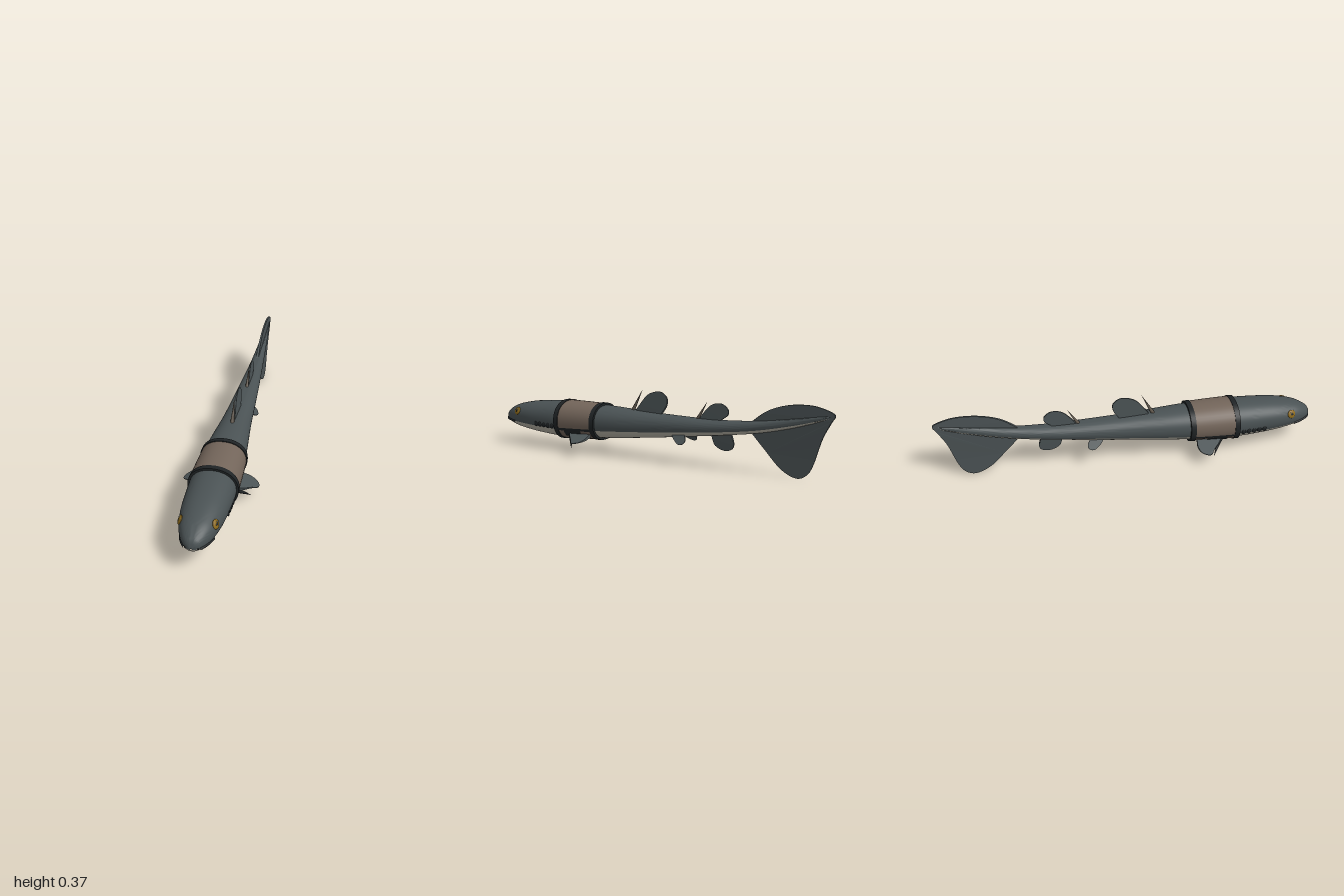
import * as THREE from 'three';
import { toCreasedNormals } from 'three/addons/utils/BufferGeometryUtils.js';

const mat = (name, color, side = THREE.FrontSide) => {
  const m = new THREE.MeshStandardMaterial({ color, side });
  m.name = name;
  return m;
};
const rad = THREE.MathUtils.degToRad;

// body stations, nose to tail: z, top, bottom, half width
const stations = [
  [1, 0.147, 0.139, 0.004], [0.99, 0.175, 0.125, 0.028], [0.97, 0.192, 0.115, 0.047],
  [0.94, 0.21, 0.105, 0.065], [0.9, 0.226, 0.095, 0.081], [0.8, 0.247, 0.081, 0.101],
  [0.7, 0.257, 0.072, 0.109], [0.57, 0.264, 0.067, 0.113], [0.3, 0.262, 0.085, 0.104],
  [0, 0.25, 0.117, 0.076], [-0.2, 0.246, 0.143, 0.063], [-0.4, 0.247, 0.17, 0.049],
  [-0.6, 0.262, 0.2, 0.034], [-0.8, 0.292, 0.247, 0.02], [-1, 0.328, 0.31, 0.004],
];

// smooth interpolation of one station column at z
function profile(z, k) {
  let i = 0;
  while (i < stations.length - 2 && z < stations[i + 1][0]) i++;
  const slope = (j) => {
    const a = stations[Math.max(j - 1, 0)], b = stations[Math.min(j + 1, stations.length - 1)];
    return (b[k] - a[k]) / (b[0] - a[0]);
  };
  const a = stations[i], b = stations[i + 1], h = b[0] - a[0], t = (z - a[0]) / h;
  const t2 = t * t, t3 = t2 * t;
  return (2 * t3 - 3 * t2 + 1) * a[k] + (t3 - 2 * t2 + t) * h * slope(i)
    + (3 * t2 - 2 * t3) * b[k] + (t3 - t2) * h * slope(i + 1);
}

// point on the body skin at z and angle, pushed out by off
function skin(z, deg, off = 0) {
  const top = profile(z, 1), bottom = profile(z, 2), c = Math.cos(rad(deg)), s = Math.sin(rad(deg));
  const round = (v) => Math.sign(v) * Math.pow(Math.abs(v), 0.92);
  return new THREE.Vector3((profile(z, 3) + off) * round(c),
    (top + bottom) / 2 + ((top - bottom) / 2 + off) * round(s), z);
}

// surface through rows of [z, offset], over an angle range
function loft(rows, a0, a1, n, crease = 0.7) {
  const pos = [], idx = [];
  rows.forEach(([z, off], i) => {
    for (let j = 0; j <= n; j++) {
      pos.push(...skin(z, a0 + (a1 - a0) * j / n, off).toArray());
      if (i < rows.length - 1 && j < n) {
        const p = i * (n + 1) + j, q = p + n + 1;
        idx.push(p, q, p + 1, p + 1, q, q + 1);
      }
    }
  });
  const g = new THREE.BufferGeometry();
  g.setAttribute('position', new THREE.Float32BufferAttribute(pos, 3));
  g.setIndex(idx);
  return toCreasedNormals(g, crease);
}

// thin fin in the zy plane, thinning away from the line v = root
function finGeometry(points, root, reach, thick) {
  const p = points.map(([z, y]) => new THREE.Vector2(z, y));
  const shape = new THREE.Shape().moveTo(p[0].x, p[0].y);
  shape.splineThru(p.slice(1));
  const g = new THREE.ExtrudeGeometry(shape, { depth: 1, bevelEnabled: false, curveSegments: 36 });
  const a = g.attributes.position;
  for (let i = 0; i < a.count; i++) {
    const k = Math.max(0.2, 1 - Math.abs(a.getY(i) - root) / reach);
    a.setZ(i, (a.getZ(i) - 0.5) * thick * k);
  }
  g.rotateY(-Math.PI / 2);
  g.computeVertexNormals();
  return g;
}

export function createModel() {
  const model = new THREE.Group();
  model.name = 'fish';
  const back = mat('slate skin', 0x4a5254);
  const belly = mat('pale belly', 0xb4b0a3);
  const finMat = mat('fin grey', 0x4b5355, THREE.DoubleSide);
  const cloth = mat('brown harness', 0x73655a);
  const dark = mat('black strap', 0x1f2325);
  const amber = mat('amber eye', 0x8c6a1c);
  const spineMat = mat('spine brown', 0x62594e);
  const white = mat('eye glint', 0xd8d8d0);

  const add = (name, geometry, material, parent = model) => {
    const m = new THREE.Mesh(geometry, material);
    m.name = name;
    parent.add(m);
    return m;
  };
  const cone = (name, from, to, r, material, parent) => {
    const a = new THREE.Vector3(...from), d = new THREE.Vector3(...to).sub(a);
    const m = add(name, new THREE.ConeGeometry(r, d.length(), 10), material, parent);
    m.position.copy(a).addScaledVector(d, 0.5);
    m.quaternion.setFromUnitVectors(new THREE.Vector3(0, 1, 0), d.normalize());
    return m;
  };

  // body: dark back and pale belly shells
  const rows = [];
  for (let i = 0; i <= 70; i++) rows.push([1 - 2 * Math.pow(i / 70, 1.6), 0]);
  add('back', loft(rows, -24, 204, 36, 1.2), back);
  add('belly', loft(rows, 204, 336, 20, 1.2), belly);

  // harness band with a strap at each end
  const band = (name, z1, z0, off, material) => {
    const r = [[z1, 0]];
    for (let i = 0; i <= 6; i++) r.push([z1 + (z0 - z1) * i / 6, off]);
    r.push([z0, 0]);
    return add(name, loft(r, 0, 360, 40), material);
  };
  band('harness', 0.565, 0.315, 0.008, cloth);
  band('frontStrap', 0.575, 0.548, 0.011, dark);
  band('rearStrap', 0.337, 0.31, 0.012, dark);

  // unpaired fins
  add('frontDorsalFin', finGeometry([[0.11, 0.245], [0.085, 0.28], [0.03, 0.343], [-0.04, 0.363],
    [-0.083, 0.337], [-0.085, 0.295], [-0.06, 0.255], [-0.05, 0.235]], 0.25, 0.15, 0.018), finMat);
  add('rearDorsalFin', finGeometry([[-0.275, 0.235], [-0.3, 0.27], [-0.35, 0.32], [-0.405, 0.33],
    [-0.442, 0.305], [-0.442, 0.275], [-0.41, 0.25], [-0.4, 0.235]], 0.24, 0.12, 0.016), finMat);
  add('analFin', finGeometry([[-0.35, 0.18], [-0.36, 0.14], [-0.375, 0.113], [-0.42, 0.094],
    [-0.465, 0.103], [-0.478, 0.135], [-0.46, 0.19]], 0.18, 0.11, 0.014), finMat);
  add('tailFin', finGeometry([[-0.56, 0.245], [-0.66, 0.318], [-0.77, 0.354], [-0.88, 0.361], [-0.96, 0.345],
    [-1, 0.322], [-0.98, 0.285], [-0.94, 0.205], [-0.9, 0.08], [-0.865, 0.022], [-0.81, 0.003],
    [-0.73, 0.04], [-0.64, 0.13], [-0.57, 0.205]], 0.28, 0.2, 0.014), finMat);
  cone('frontDorsalSpine', [0, 0.245, 0.13], [0, 0.368, 0.065], 0.011, spineMat);
  cone('rearDorsalSpine', [0, 0.235, -0.265], [0, 0.335, -0.325], 0.01, spineMat);

  // paired parts
  const pectoral = finGeometry([[0.48, -0.02], [0.468, 0.015], [0.43, 0.058], [0.4, 0.094],
    [0.36, 0.078], [0.343, 0.035], [0.35, -0.02]], -0.01, 0.11, 0.02);
  const pelvic = finGeometry([[-0.14, -0.015], [-0.16, 0.015], [-0.195, 0.042], [-0.222, 0.038],
    [-0.23, 0.015], [-0.215, -0.015]], -0.01, 0.06, 0.012);
  for (const side of [1, -1]) {
    const half = new THREE.Group();
    half.name = side > 0 ? 'leftParts' : 'rightParts';
    half.scale.x = side;
    model.add(half);

    const pec = add('pectoralFin', pectoral, finMat, half);
    pec.position.set(0.1, 0.1, 0);
    pec.rotation.z = -rad(107);
    cone('pectoralSpine', [0.085, 0.1, 0.48], [0.158, 0.036, 0.425], 0.015, dark, half);
    const pel = add('pelvicFin', pelvic, finMat, half);
    pel.position.set(0.047, 0.145, 0);
    pel.rotation.z = -rad(140);

    // side strap and fin opening on the harness
    const strip = (z1, z0) => [0, 1, 2, 3, 4].map((i) => [z1 + (z0 - z1) * i / 4, 0.011]);
    add('sideStrap', loft(strip(0.55, 0.335), -24, -16, 4), dark, half);
    add('finOpening', loft(strip(0.51, 0.4), -44, -24, 6), dark, half);

    // eye with slit pupil and glint
    const eye = new THREE.Group();
    eye.name = 'eye';
    eye.position.copy(skin(0.87, 24));
    eye.lookAt(eye.position.clone().add(new THREE.Vector3(1, 0.42, 0.28)));
    half.add(eye);
    add('iris', new THREE.SphereGeometry(0.023, 20, 12), amber, eye).scale.set(1, 1, 0.35);
    const pupil = add('pupil', new THREE.SphereGeometry(0.01, 12, 8), dark, eye);
    pupil.scale.set(0.9, 0.6, 0.25);
    pupil.position.z = 0.007;
    const glint = add('glint', new THREE.SphereGeometry(0.003, 8, 6), white, eye);
    glint.position.set(0.006, 0.009, 0.008);

    // gill openings
    for (let i = 0; i < 5; i++) {
      const gill = add('gill', new THREE.SphereGeometry(0.014, 14, 10), dark, half);
      gill.position.copy(skin(0.715 - i * 0.029, -15));
      gill.scale.set(0.4, 1.1, 0.85);
    }

    // mouth slit along the edge of the belly
    const lip = [0.982, 0.965, 0.945, 0.92, 0.89].map((z) => skin(z, -25));
    add('mouth', new THREE.TubeGeometry(new THREE.CatmullRomCurve3(lip), 20, 0.007, 8), dark, half);

    // nostril
    const nostril = add('nostril', new THREE.SphereGeometry(0.004, 8, 6), dark, half);
    nostril.position.copy(skin(0.988, -20));
  }
  return model;
}
